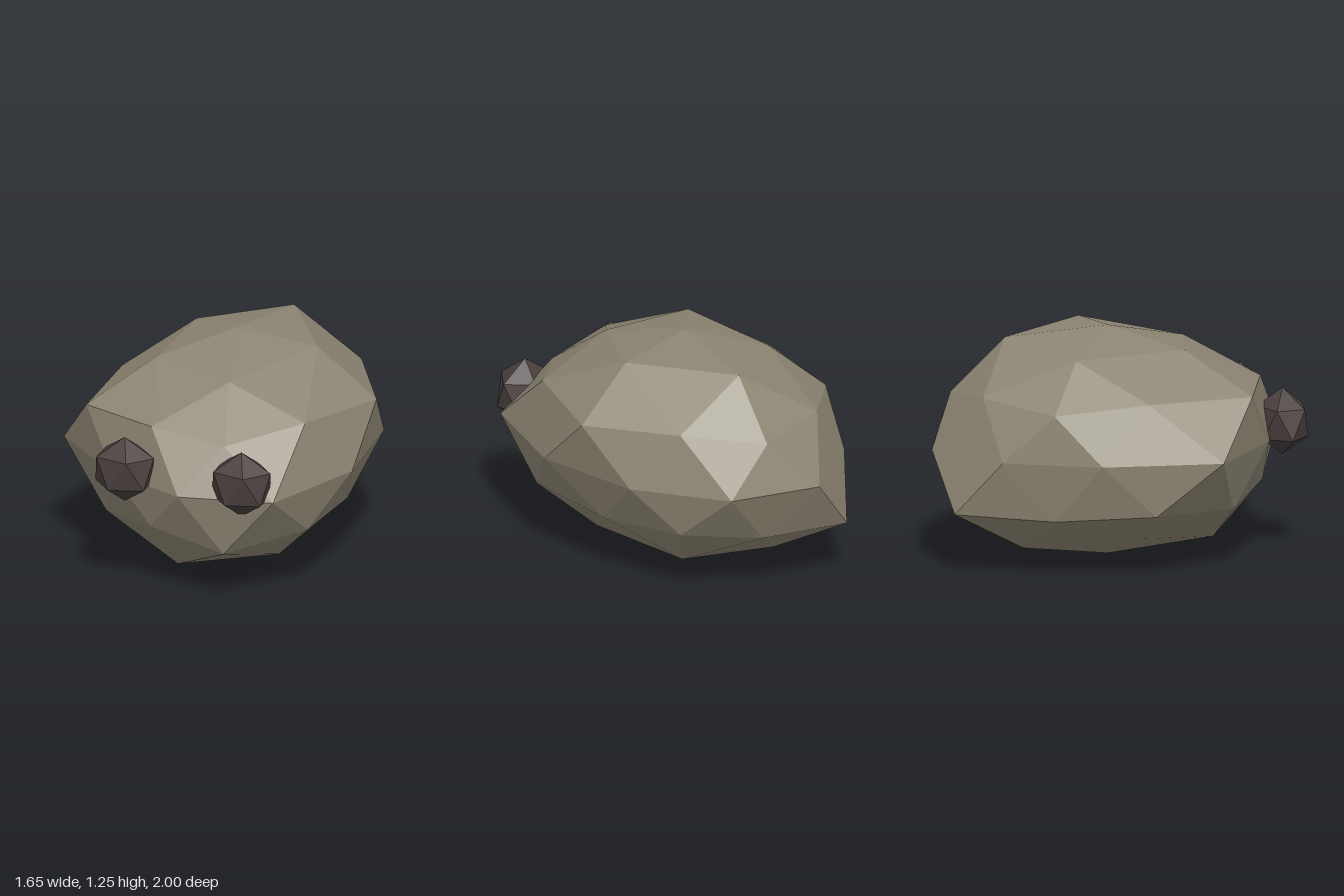
import * as THREE from 'three';

const stone = new THREE.MeshStandardMaterial({ color: 0x8c8472, flatShading: true });
stone.name = 'warm grey stone';
const dark = new THREE.MeshStandardMaterial({ color: 0x483f3d, flatShading: true });
dark.name = 'dark brown';

// Flat-shaded closed form from triangles of points around the origin
function facets(tris) {
  const pos = [], n = new THREE.Vector3(), m = new THREE.Vector3();
  for (let [a, b, c] of tris) {
    new THREE.Triangle(a, b, c).getNormal(n);
    new THREE.Triangle(a, b, c).getMidpoint(m);
    if (n.dot(m) < 0) [b, c] = [c, b];
    for (const p of [a, b, c]) pos.push(p.x, p.y, p.z);
  }
  const g = new THREE.BufferGeometry();
  g.setAttribute('position', new THREE.Float32BufferAttribute(pos, 3));
  g.computeVertexNormals();
  return g;
}

// Point on the unit sphere, at an angle in degrees from +x towards +z
function dir(deg, y) {
  const a = THREE.MathUtils.degToRad(deg), r = Math.sqrt(Math.max(0, 1 - y * y));
  return new THREE.Vector3(r * Math.cos(a), y, r * Math.sin(a));
}

// Upright 80-face sphere with an uneven radius at each corner
function boulder() {
  const ring = (radii, start, step, height) =>
    radii.map((r, i) => dir(start + i * step, height(i)).multiplyScalar(r));
  const zigzag = (even, odd) => i => (i % 2 ? odd : even);
  const top = dir(0, 1), bottom = dir(0, -1).multiplyScalar(1.064);
  const crown = ring([1.086, 0.95, 1.0, 0.97, 1.07], 0, 72, () => 0.851);
  const upper = ring([1.105, 1.025, 0.93, 0.98, 1.115, 0.95, 0.96, 0.97, 0.96, 0.975],
    0, 36, zigzag(0.447, 0.526));
  const belt = ring([1.0, 1.087, 0.963, 0.935, 1.125, 0.945, 0.936, 1.0, 0.985, 0.96],
    18, 36, () => 0);
  const lower = ring([0.92, 1.015, 1.065, 0.945, 1.02, 1.06, 1.0, 1.13, 0.96, 0.96],
    0, 36, zigzag(-0.526, -0.447));
  const base = ring([1.03, 1.095, 0.94, 1.06, 1.025], 36, 72, () => -0.851);

  const tris = [];
  // Caps: each cap corner sits over an even (upper) or odd (lower) ring corner
  const cap = (pole, inner, outer, shift) => {
    for (let k = 0; k < 5; k++) {
      const o = i => outer[(2 * k + shift + i + 10) % 10];
      const a = inner[k], b = inner[(k + 1) % 5];
      tris.push([pole, a, b], [a, o(1), b], [a, o(0), o(1)], [a, o(-1), o(0)]);
    }
  };
  cap(top, crown, upper, 0);
  cap(bottom, base, lower, 1);
  // Bands on both sides of the belt
  for (const r of [upper, lower]) {
    for (let j = 0; j < 10; j++) {
      tris.push([r[j], belt[j], r[(j + 1) % 10]], [r[j], belt[(j + 9) % 10], belt[j]]);
    }
  }
  return facets(tris).scale(0.8, 0.606, 1);
}

// Upright 20-face ball
function ball() {
  const up = dir(0, 1), down = dir(0, -1), tris = [];
  for (let k = 0; k < 5; k++) {
    const u = dir(72 * k, 0.447), u2 = dir(72 * k + 72, 0.447);
    const l = dir(72 * k + 36, -0.447), l2 = dir(72 * k + 108, -0.447);
    tris.push([up, u, u2], [u, l, u2], [u2, l, l2], [down, l, l2]);
  }
  return facets(tris);
}

export function createModel() {
  const group = new THREE.Group();
  group.name = 'stoneHead';

  const head = new THREE.Mesh(boulder(), stone);
  head.name = 'head';
  head.position.set(0.03, 0.645, 0);
  group.add(head);

  const eyeGeometry = ball().scale(0.184, 0.183, 0.15);
  for (const [name, x] of [['rightEye', -0.3], ['leftEye', 0.36]]) {
    const eye = new THREE.Mesh(eyeGeometry, dark);
    eye.name = name;
    eye.position.set(x, 0.728, 0.872);
    group.add(eye);
  }
  return group;
}
